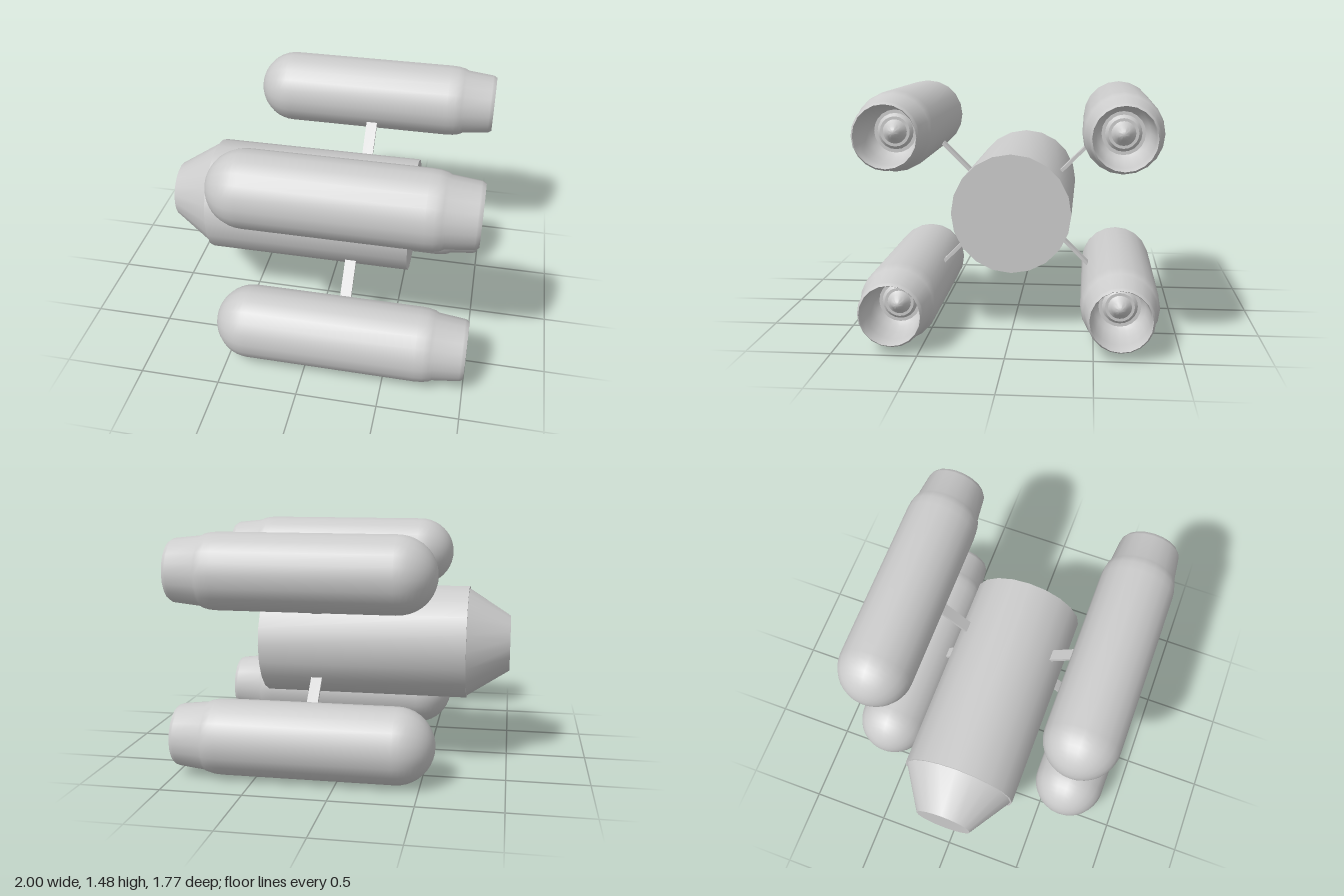
import * as THREE from 'three';
import { toCreasedNormals } from 'three/addons/utils/BufferGeometryUtils.js';

const material = new THREE.MeshStandardMaterial({ color: 0xcccccc });
const AXIS_Y = 0.747;

// Solid of revolution about the x axis; profile is [x, radius] pairs
function turned(name, profile, sides) {
  const points = profile.map(([x, r]) => new THREE.Vector2(r, x));
  const geometry = new THREE.LatheGeometry(points, sides);
  geometry.rotateZ(-Math.PI / 2);
  const mesh = new THREE.Mesh(toCreasedNormals(geometry, 0.55), material);
  mesh.name = name;
  return mesh;
}

// Rounded nose, straight barrel, stepped nozzle and hollow exhaust with a central plug
function podProfile() {
  const profile = [];
  const radius = 0.233;
  for (let i = 0; i <= 10; i++) {
    const a = (i / 10) * Math.PI / 2;
    profile.push([-0.352 - radius * Math.cos(a), radius * Math.sin(a)]);
  }
  profile.push(
    [0.7, 0.233], [0.75, 0.23], [0.79, 0.221], [0.81, 0.21],
    [0.975, 0.192], [0.985, 0.188], [1, 0.178],
    [0.985, 0.172], [0.9, 0.172], [0.8, 0.165], [0.74, 0.15],
    [0.71, 0.125], [0.71, 0.105], [0.73, 0.087], [0.73, 0.07],
    [0.75, 0.05], [0.775, 0.035], [0.79, 0.018], [0.795, 0]
  );
  return profile;
}

export function createModel() {
  const model = new THREE.Group();
  model.name = 'podCluster';

  // Central hull with tapered nose
  const hull = turned('hull', [[-0.735, 0], [-0.735, 0.361], [0.57, 0.361], [0.57, 0]], 20);
  const nose = turned('noseCone', [[-1, 0], [-1, 0.177], [-0.735, 0.348]], 20);
  for (const part of [hull, nose]) {
    part.position.y = AXIS_Y;
    model.add(part);
  }

  // Four pods, each on a thin diagonal strut
  const pod = turned('pod', podProfile(), 20);
  const strutGeometry = new THREE.BoxGeometry(0.07, 0.02, 0.27);
  for (const up of [1, -1]) {
    for (const side of [1, -1]) {
      const name = (up > 0 ? 'upper' : 'lower') + (side > 0 ? 'Front' : 'Back');
      const engine = pod.clone();
      engine.name = name + 'Pod';
      engine.position.set(0, AXIS_Y + up * 0.509, side * 0.653);
      model.add(engine);

      const strut = new THREE.Mesh(strutGeometry, material);
      strut.name = name + 'Strut';
      strut.position.set(0.207, AXIS_Y + up * 0.298, side * 0.374);
      strut.rotation.x = -up * side * Math.PI / 4;
      model.add(strut);
    }
  }
  return model;
}
